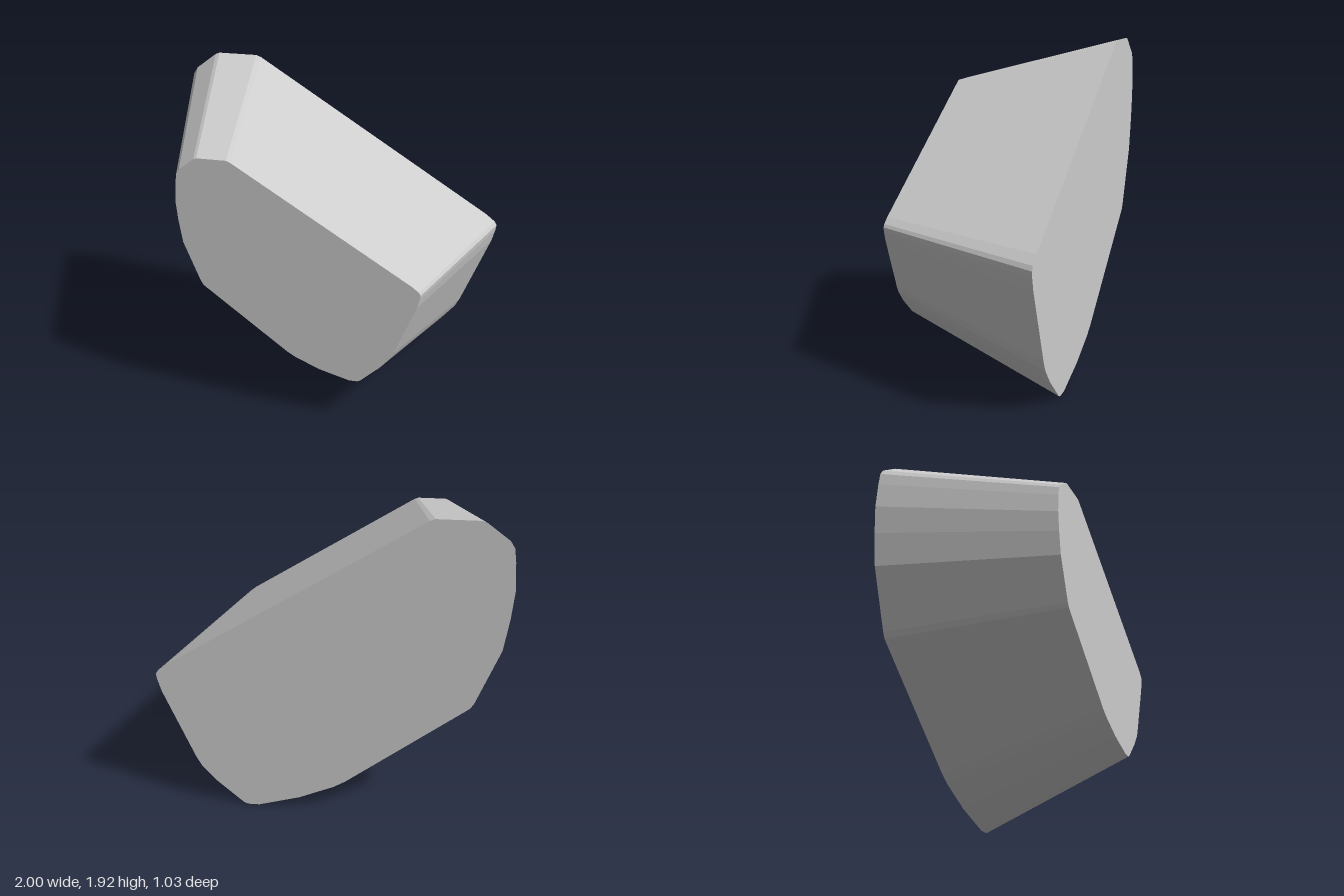
import * as THREE from 'three';

// Outline of the large back face, counter-clockwise seen from the front
const OUTLINE = [
  [-0.56, 1.925], [-0.80, 1.925], [-0.825, 1.915], [-0.95, 1.82], [-0.975, 1.78],
  [-0.987, 1.70], [-1.0, 1.54], [-0.987, 1.37], [-0.96, 1.17], [-0.83, 0.82],
  [-0.81, 0.785], [-0.78, 0.76], [-0.10, 0.215], [-0.03, 0.17], [0.18, 0.075],
  [0.43, 0.0], [0.50, 0.0], [0.525, 0.012], [0.69, 0.17], [0.77, 0.27],
  [0.80, 0.33], [0.975, 0.79], [0.995, 0.87], [1.0, 0.905], [0.985, 0.93],
  [0.93, 0.975], [-0.53, 1.913],
];
const HALF_DEPTH = 0.513;
const TAPER = 0.7;

export function createModel() {
  const stone = new THREE.MeshStandardMaterial({ color: 0xcccccc });
  stone.name = 'light grey';

  const shape = new THREE.Shape(OUTLINE.map(([x, y]) => new THREE.Vector2(x, y)));
  const geometry = new THREE.ExtrudeGeometry(shape, { depth: 2 * HALF_DEPTH, bevelEnabled: false });
  geometry.translate(0, 0, -HALF_DEPTH);

  // Shrink the front face so that the sides slope inwards
  const p = geometry.attributes.position;
  for (let i = 0; i < p.count; i++) {
    if (p.getZ(i) > 0) p.setXY(i, p.getX(i) * TAPER - 0.06, p.getY(i) * TAPER + 0.302);
  }
  geometry.computeVertexNormals();

  const block = new THREE.Mesh(geometry, stone);
  block.name = 'taperedBlock';
  const group = new THREE.Group();
  group.name = 'taperedStone';
  group.add(block);
  return group;
}
